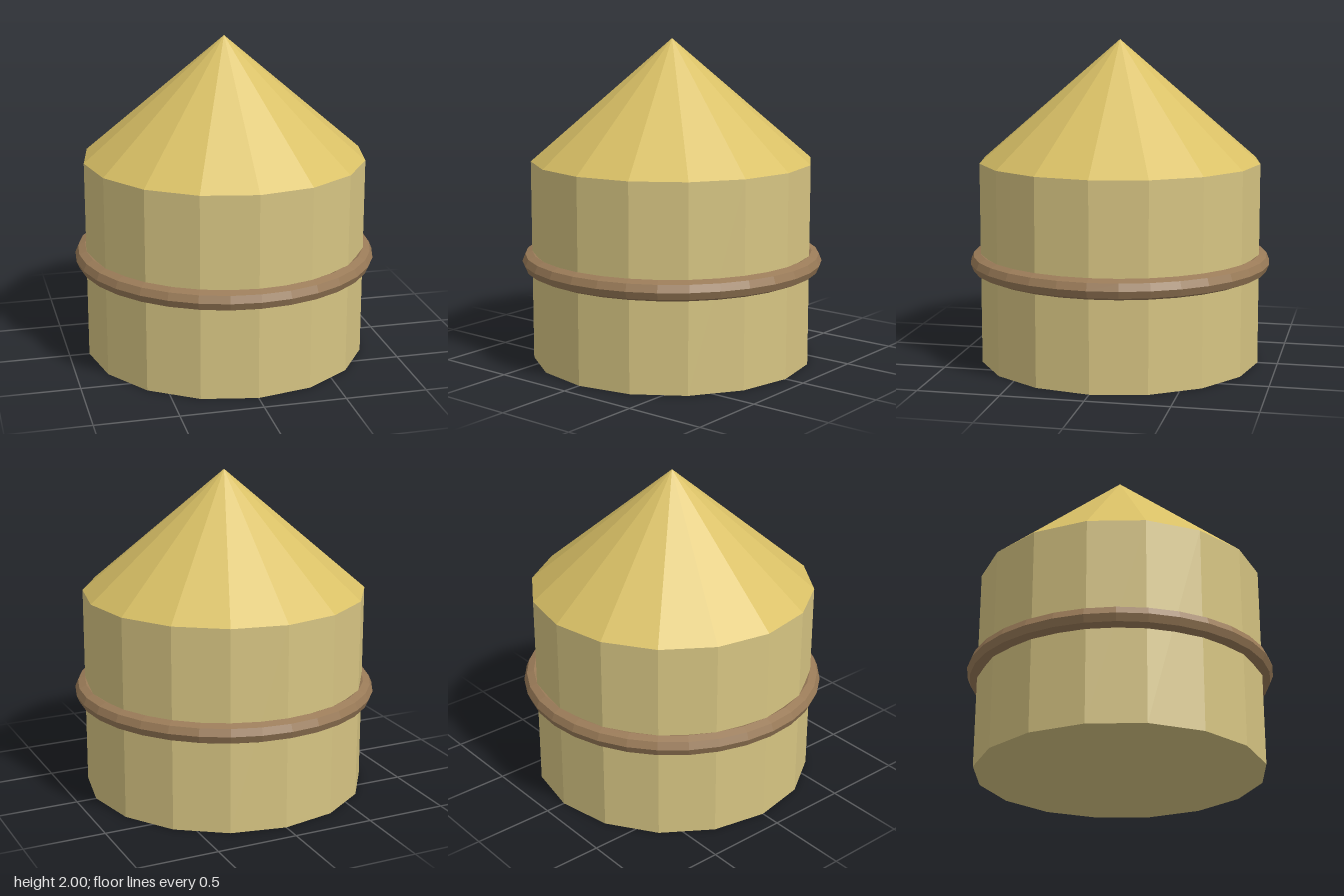
import * as THREE from 'three';

const material = (name, color) => {
  const m = new THREE.MeshStandardMaterial({ color, flatShading: true });
  m.name = name;
  return m;
};

export function createModel() {
  const group = new THREE.Group();
  const radius = 0.875, wallHeight = 1.25, roofHeight = 0.75, sides = 16;

  const add = (name, geometry, mat, y) => {
    const mesh = new THREE.Mesh(geometry, mat);
    mesh.name = name;
    mesh.position.y = y;
    group.add(mesh);
  };

  // Faceted round wall, closed at the bottom
  add('wall', new THREE.CylinderGeometry(radius, radius, wallHeight, sides),
    material('pale straw', 0xd6c482), wallHeight / 2);

  // Pointed roof flush with the wall
  add('roof', new THREE.ConeGeometry(radius, roofHeight, sides),
    material('golden thatch', 0xd9c066), wallHeight + roofHeight / 2);

  // Band around the middle of the wall
  add('band', new THREE.TorusGeometry(radius, 0.0625, 8, 32).rotateX(Math.PI / 2),
    material('brown wood', 0x9a7b58), wallHeight / 2);

  return group;
}
